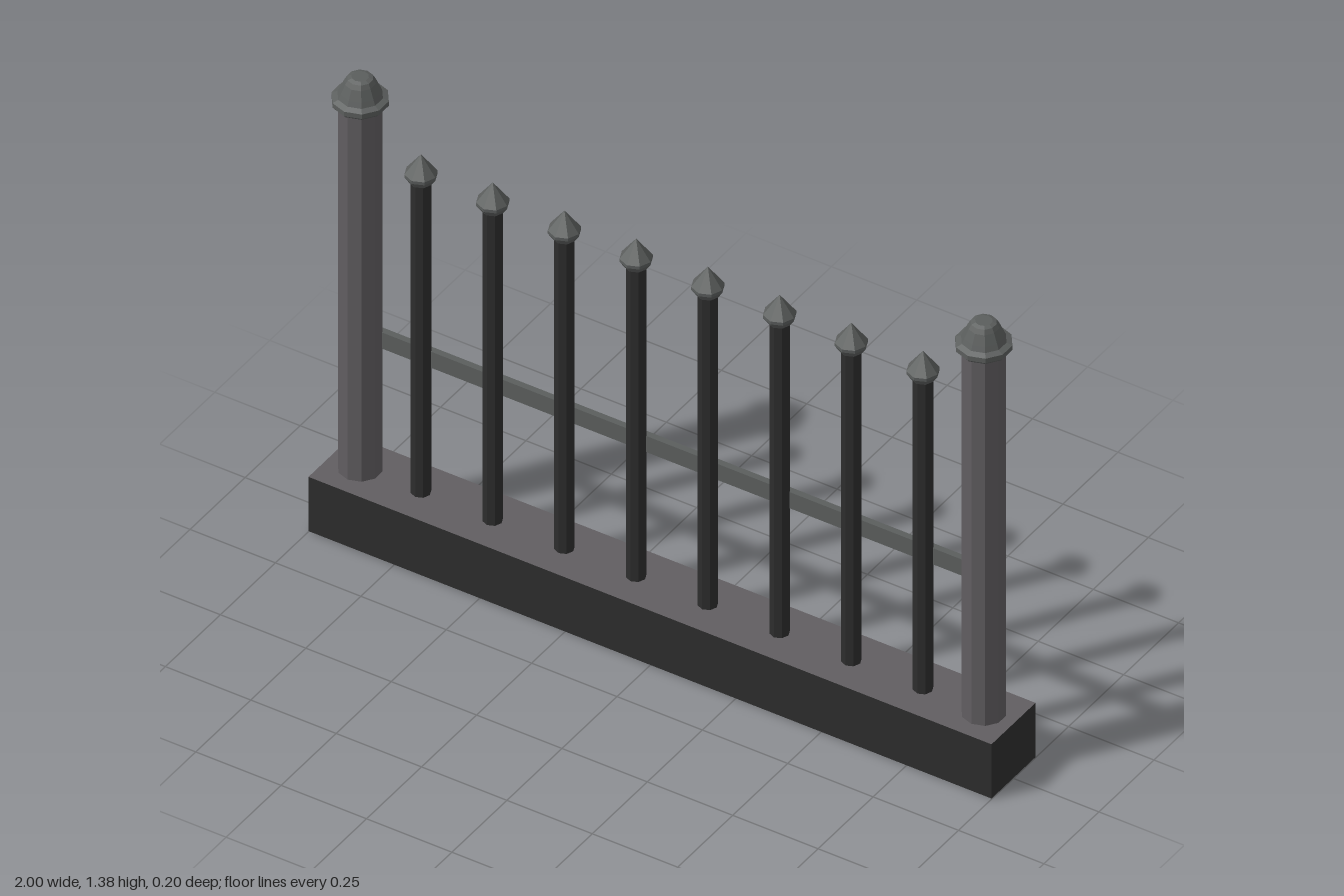
import * as THREE from 'three';

const flat = (name, color) => {
  const m = new THREE.MeshStandardMaterial({ color, flatShading: true });
  m.name = name;
  return m;
};

export function createModel() {
  const group = new THREE.Group();
  group.name = 'fenceSection';

  const stone = flat('stone grey', 0x615e61);
  const iron = flat('dark iron', 0x2d2d2d);
  const steel = flat('steel grey', 0x5b5e5d);

  const add = (name, geometry, material, x, y, z) => {
    const mesh = new THREE.Mesh(geometry, material);
    mesh.name = name;
    mesh.position.set(x, y, z);
    group.add(mesh);
  };
  const lathe = (points, sides) =>
    new THREE.LatheGeometry(points.map(([r, y]) => new THREE.Vector2(r, y)), sides);

  // Plinth: dark sides with a lighter top face, just above the post feet
  add('base', new THREE.BoxGeometry(2, 0.168, 0.2),
    [iron, iron, stone, iron, iron, iron], 0, 0.086, 0);

  // End posts with collared, blunt caps
  const postGeometry = new THREE.CylinderGeometry(0.057, 0.057, 1.3, 10);
  const postCap = lathe([[0, 1.3], [0.068, 1.3], [0.073, 1.306], [0.073, 1.32], [0.058, 1.326],
    [0.052, 1.34], [0.04, 1.367], [0.033, 1.379], [0.022, 1.383], [0, 1.383]], 10);
  for (const side of [-1, 1]) {
    add('post', postGeometry, stone, side * 0.913, 0.65, 0);
    add('postCap', postCap, steel, side * 0.913, 0, 0);
  }

  // Evenly spaced pickets with pointed tips
  const picketGeometry = new THREE.CylinderGeometry(0.026, 0.026, 1.14, 8);
  const picketTip = lathe([[0, 1.132], [0.03, 1.132], [0.042, 1.15], [0.042, 1.159], [0, 1.215]], 8);
  for (let i = 0; i < 8; i++) {
    const x = (i - 3.5) * 0.21;
    add('picket', picketGeometry, iron, x, 0.57, 0);
    add('picketTip', picketTip, steel, x, 0, 0);
  }

  // Cross rail along the back of the pickets
  add('rail', new THREE.BoxGeometry(1.75, 0.05, 0.018), steel, 0, 0.577, -0.024);

  return group;
}
